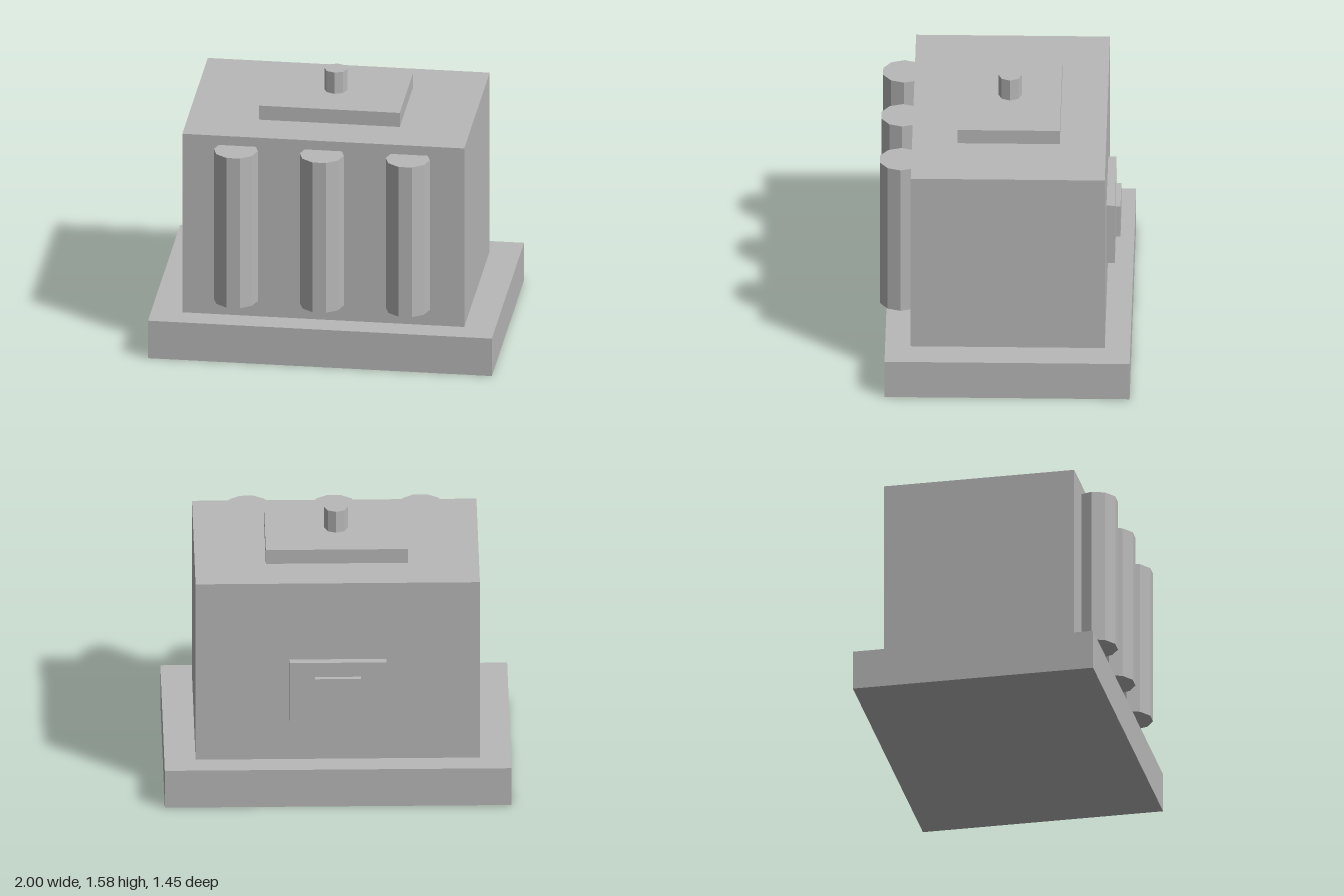
import * as THREE from 'three';

export function createModel() {
  const group = new THREE.Group();
  const grey = new THREE.MeshStandardMaterial({ color: 0xb8b8b8 });
  grey.name = 'plain grey';
  grey.flatShading = true;

  const add = (name, geometry, x, y, z) => {
    const mesh = new THREE.Mesh(geometry, grey);
    mesh.name = name;
    mesh.position.set(x, y, z);
    group.add(mesh);
  };

  // Box centred on x = 0, given its half width and y and z ranges
  const block = (name, halfWidth, y0, y1, z0, z1) =>
    add(name, new THREE.BoxGeometry(2 * halfWidth, y1 - y0, z1 - z0), 0, (y0 + y1) / 2, (z0 + z1) / 2);

  // Upright prism with a corner pointing along +x
  const post = (name, radius, sides, x, y0, y1, z) =>
    add(name, new THREE.CylinderGeometry(radius, radius, y1 - y0, sides, 1, false, Math.PI / 2), x, (y0 + y1) / 2, z);

  // Plinth, main body and stepped roof
  block('base', 1, 0, 0.235, -0.725, 0.689);
  block('body', 0.82, 0.235, 1.355, -0.578, 0.541);
  block('roofPlate', 0.41, 1.355, 1.443, -0.311, 0.278);
  post('roofKnob', 0.068, 8, 0, 1.443, 1.576, -0.017);

  // Three ten-sided columns half sunk into the front
  for (const x of [-0.5, 0, 0.5]) post('frontColumn', 0.128, 10, x, 0.358, 1.297, 0.603);

  // Stepped panel on the back
  block('backPanel', 0.28, 0.488, 0.87, -0.626, -0.578);
  block('backPanelInset', 0.132, 0.578, 0.78, -0.656, -0.626);

  return group;
}
